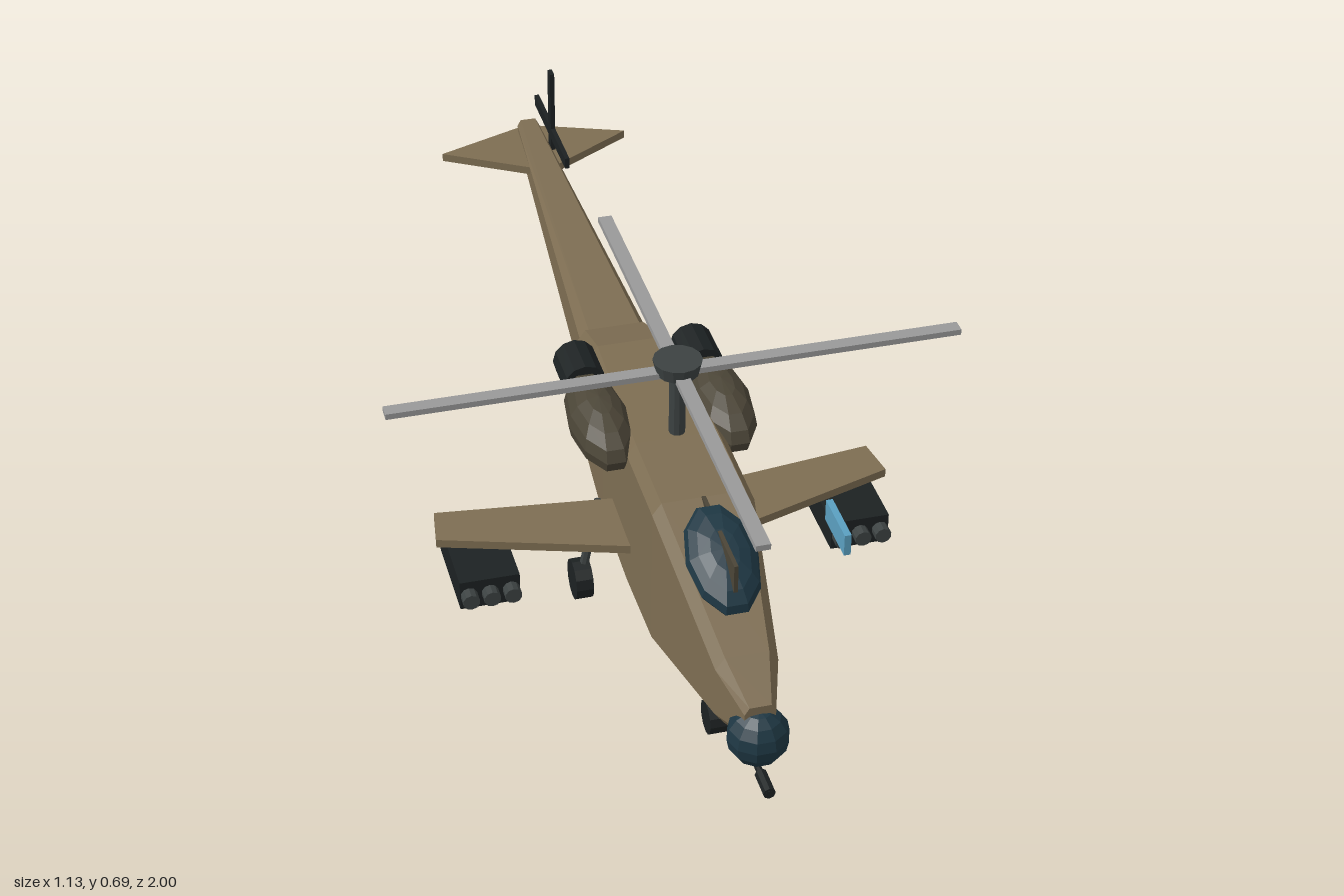
import * as THREE from 'three';

const mat = (color) => new THREE.MeshStandardMaterial({ color, flatShading: true });

export function createModel() {
  const model = new THREE.Group();
  const tan = mat(0x7d6d52), olive = mat(0x4b4537), dark = mat(0x1c2122), steel = mat(0x3c4242);
  const glass = mat(0x1e3743), grey = mat(0x999999), blue = mat(0x5a9fc0);

  const add = (name, geometry, material, x = 0, y = 0, z = 0) => {
    const mesh = new THREE.Mesh(geometry, material);
    mesh.name = name;
    mesh.position.set(x, y, z);
    model.add(mesh);
    return mesh;
  };
  const box = (name, w, h, d, material, x, y, z) => add(name, new THREE.BoxGeometry(w, h, d), material, x, y, z);
  const ball = (name, rx, ry, rz, material, x, y, z) =>
    add(name, new THREE.SphereGeometry(1, 10, 8).scale(rx, ry, rz), material, x, y, z);
  const rodX = (name, r, len, material, x, y, z) =>
    add(name, new THREE.CylinderGeometry(r, r, len, 12).rotateZ(Math.PI / 2), material, x, y, z);
  const rodZ = (name, r, len, material, x, y, z, sides = 10) =>
    add(name, new THREE.CylinderGeometry(r, r, len, sides).rotateX(Math.PI / 2), material, x, y, z);

  // flat horizontal plate from an outline of [x, z] points
  const plate = (name, points, thickness, y) => {
    const shape = new THREE.Shape(points.map(([x, z]) => new THREE.Vector2(x, z)));
    const geometry = new THREE.ExtrudeGeometry(shape, { depth: thickness, bevelEnabled: false }).rotateX(Math.PI / 2);
    return add(name, geometry, tan, 0, y + thickness / 2, 0);
  };

  // loft through chamfered box sections [z, halfWidth, bottom, top], front to back
  const loft = (name, sections) => {
    const rings = sections.map(([z, w, b, t]) => {
      const cx = Math.min(0.018, w * 0.3), cy = Math.min(0.025, (t - b) * 0.2);
      return [[w, b + cy], [w, t - cy], [w - cx, t], [cx - w, t], [-w, t - cy], [-w, b + cy], [cx - w, b], [w - cx, b]]
        .map(([x, y]) => [x, y, z]);
    });
    const out = [];
    const tri = (...corners) => corners.forEach((p) => out.push(...p));
    for (let s = 0; s < rings.length - 1; s++) {
      const a = rings[s], c = rings[s + 1];
      for (let i = 0; i < 8; i++) {
        const j = (i + 1) % 8;
        tri(a[i], c[i], c[j]);
        tri(a[i], c[j], a[j]);
      }
    }
    const first = rings[0], last = rings[rings.length - 1];
    for (let i = 1; i < 7; i++) {
      tri(first[0], first[i], first[i + 1]);
      tri(last[0], last[i + 1], last[i]);
    }
    const geometry = new THREE.BufferGeometry();
    geometry.setAttribute('position', new THREE.Float32BufferAttribute(out, 3));
    geometry.computeVertexNormals();
    return add(name, geometry, tan);
  };

  // fuselage and tail boom
  loft('fuselage', [
    [0.93, 0.03, 0.235, 0.31], [0.84, 0.06, 0.205, 0.36], [0.54, 0.1, 0.155, 0.5],
    [0.35, 0.1, 0.15, 0.505], [0.13, 0.094, 0.15, 0.505], [0, 0.088, 0.17, 0.5], [-0.14, 0.08, 0.195, 0.447],
  ]);
  loft('tailBoom', [[-0.13, 0.073, 0.308, 0.445], [-0.94, 0.024, 0.433, 0.5]]);

  // canopy with its centre frame, nose sensor and gun
  ball('canopy', 0.07, 0.042, 0.12, glass, 0, 0.45, 0.67).rotation.x = 0.42;
  box('canopyFrame', 0.008, 0.06, 0.22, olive, 0, 0.472, 0.65);
  ball('noseSensor', 0.06, 0.06, 0.058, glass, 0, 0.235, 0.92);
  rodZ('gunBarrel', 0.007, 0.2, dark, 0, 0.16, 0.9, 8);
  rodZ('gunMuzzle', 0.012, 0.055, dark, 0, 0.16, 0.972, 8);
  rodZ('gunBreech', 0.012, 0.06, dark, 0, 0.16, 0.85, 8);

  // main rotor
  add('rotorMast', new THREE.CylinderGeometry(0.016, 0.016, 0.15, 10), steel, 0, 0.595, 0.35);
  add('rotorHub', new THREE.CylinderGeometry(0.048, 0.042, 0.028, 14), steel, 0, 0.674, 0.35);
  box('rotorBladesAcross', 1.13, 0.012, 0.028, grey, 0, 0.663, 0.35);
  box('rotorBladesAlong', 0.028, 0.012, 1.13, grey, 0, 0.663, 0.35);

  // tail rotor and stabilizer
  box('tailRotorBladeVertical', 0.01, 0.3, 0.025, dark, 0.035, 0.515, -0.848);
  box('tailRotorBladeHorizontal', 0.01, 0.025, 0.3, dark, 0.035, 0.515, -0.848);
  plate('stabilizer', [[0.01, -0.958], [0.212, -0.88], [0.03, -0.77], [-0.03, -0.77], [-0.212, -0.88], [-0.01, -0.958]], 0.018, 0.464);

  for (const s of [1, -1]) {
    // engines and exhausts
    ball('engine', 0.061, 0.062, 0.15, olive, s * 0.124, 0.478, 0.225);
    rodZ('exhaust', 0.044, 0.098, dark, s * 0.122, 0.487, 0.06, 12);

    // stub wings and rocket pods
    plate('wing', [[0, 0.4], [s * 0.1, 0.38], [s * 0.465, 0.265], [s * 0.452, 0.178], [0, 0.232]], 0.018, 0.272);
    box('rocketPod', 0.12, 0.064, 0.2, dark, s * 0.38, 0.212, 0.265);
    for (const dx of [-0.042, 0, 0.042]) rodZ('rocketTube', 0.017, 0.04, steel, s * 0.38 + dx, 0.212, 0.37);

    // main landing gear
    rodX('mainWheel', 0.043, 0.036, dark, s * 0.15, 0.044, 0.163);
    const strut = add('mainStrut', new THREE.CylinderGeometry(0.01, 0.01, 0.19, 8), steel, s * 0.13, 0.143, 0.163);
    strut.rotation.z = s * 0.2;
  }

  // nose wheel and side panel
  rodX('noseWheel', 0.035, 0.04, dark, 0, 0.05, 0.65);
  box('sidePanel', 0.014, 0.048, 0.12, blue, 0.305, 0.298, 0.445);

  return model;
}
